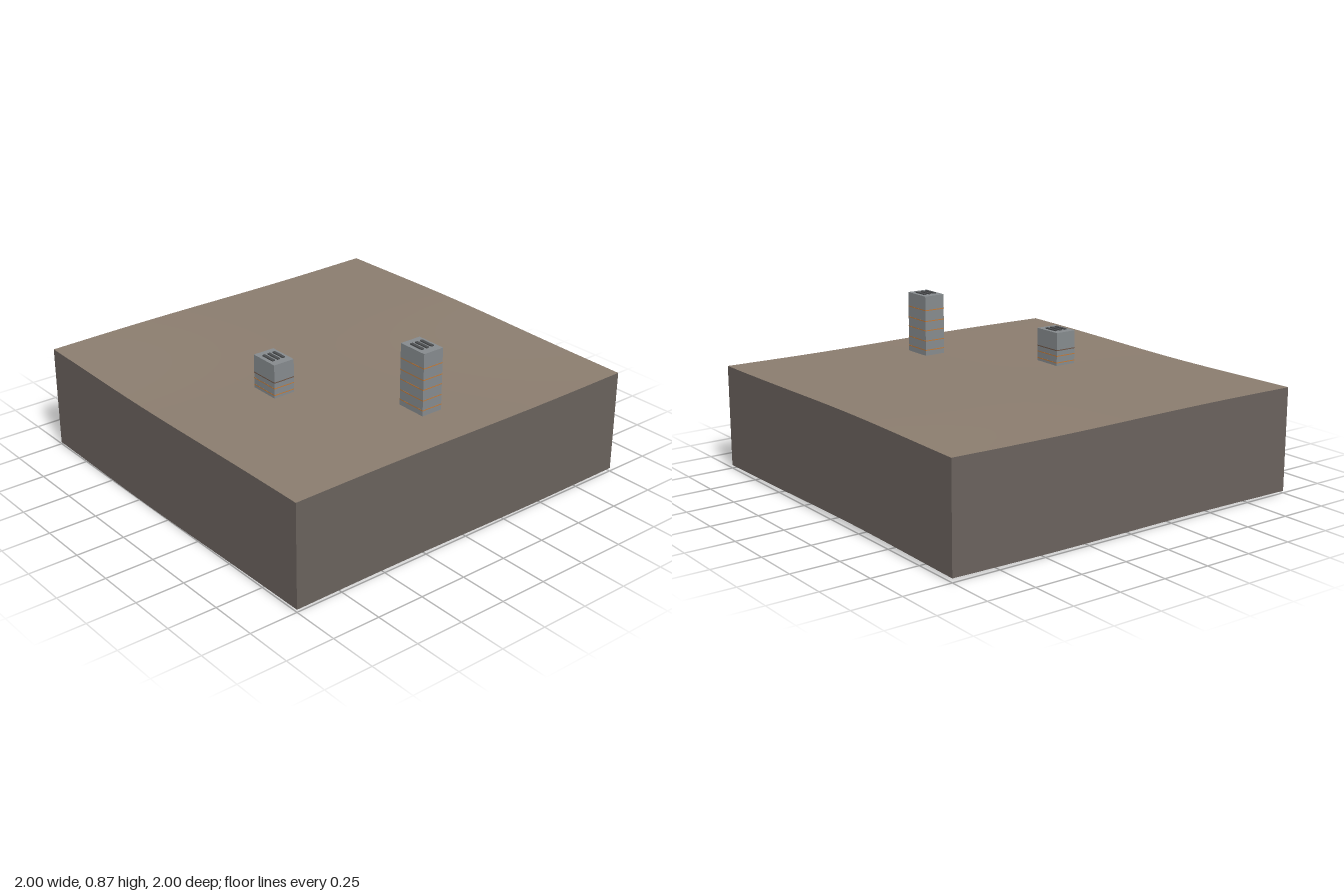
import * as THREE from 'three';

const mat = (name, color, side = THREE.FrontSide) => {
  const m = new THREE.MeshStandardMaterial({ color, side });
  m.name = name;
  return m;
};

const DEPTH = 0.531;

// Gentle rolling ground height
const ground = (x, z) =>
  0.546 + 0.014 * x * Math.exp(-2 * (z + 0.2) ** 2) - 0.003 * Math.sin(3.5 * x);

// Set each vertex height with a rule, then refresh the normals
function shapeHeight(geo, rule) {
  const p = geo.attributes.position;
  for (let i = 0; i < p.count; i++) p.setY(i, rule(p.getX(i), p.getY(i), p.getZ(i)));
  geo.computeVertexNormals();
  return geo;
}

function addMesh(parent, name, geo, material, x = 0, y = 0, z = 0) {
  const mesh = new THREE.Mesh(geo, material);
  mesh.name = name;
  mesh.position.set(x, y, z);
  parent.add(mesh);
  return mesh;
}

export function createModel() {
  const soil = mat('soil', 0x8b7d6f, THREE.DoubleSide);
  const earth = mat('earth', 0x6a625d, THREE.DoubleSide);
  const concrete = mat('concrete', 0x868b8e);
  const vent = mat('dark vent', 0x4c4e50);
  const orange = mat('orange band', 0xc07a3a);
  const brown = mat('brown band', 0x6e5444);

  const model = new THREE.Group();
  model.name = 'terrainTile';

  // Ground surface
  const top = new THREE.PlaneGeometry(2, 2, 32, 32).rotateX(-Math.PI / 2);
  addMesh(model, 'ground', shapeHeight(top, (x, y, z) => ground(x, z)), soil);

  // Four skirt walls whose lower edge follows the ground, open underneath
  for (let i = 0; i < 4; i++) {
    const wall = new THREE.PlaneGeometry(2, 1, 32, 1).translate(0, 0, 1).rotateY(i * Math.PI / 2);
    shapeHeight(wall, (x, y, z) => ground(x, z) - (y > 0 ? 0 : DEPTH));
    addMesh(model, 'skirtWall', wall, earth);
  }

  // Tower block with floor bands and three roof vents
  const W = 0.116, D = 0.16;
  function tower(name, x, z, roofY, bands) {
    const group = new THREE.Group();
    group.name = name;
    group.position.set(x, 0, z);
    const base = ground(x, z);
    addMesh(group, 'body', new THREE.BoxGeometry(W, roofY - base, D), concrete, 0, (roofY + base) / 2, 0);
    for (const [y, material] of bands)
      addMesh(group, 'floorBand', new THREE.BoxGeometry(W + 0.001, 0.005, D + 0.001), material, 0, y, 0);
    for (const vx of [-0.03, 0, 0.03])
      addMesh(group, 'roofVent', new THREE.BoxGeometry(0.015, 0.008, 0.08), vent, vx, roofY + 0.002, 0);
    model.add(group);
  }

  tower('tallTower', -0.002, 0.665, 0.863,
    [0.575, 0.625, 0.68, 0.73, 0.788].map(y => [y, orange]));
  tower('shortTower', -0.417, 0.082, 0.717,
    [[0.56, orange], [0.595, orange], [0.625, brown]]);

  return model;
}
